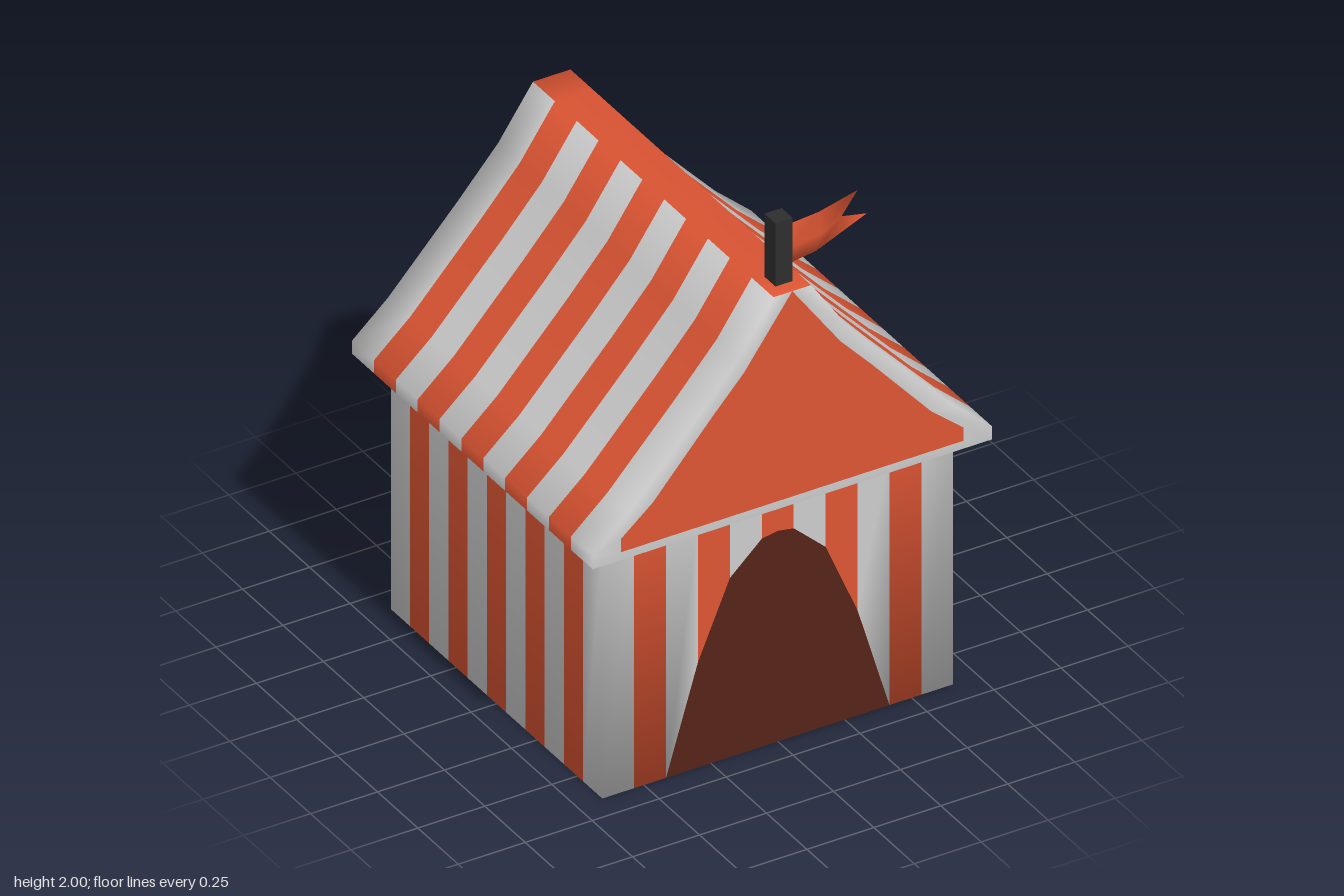
import * as THREE from 'three';

const RED = 0xdd5533, GREY = 0xcccccc, DARK = 0x2d2d2d, DOOR = 0x552419;
const BANDS = 11;

// One mesh per colour from convex faces {c, p, flat}; normals blend across all
// faces that are not flat, so colours share one soft surface.
function softShell(name, faces) {
  const key = p => p.map(v => Math.round(v * 1000) | 0).join();
  const sums = new Map(), byColor = new Map();
  for (const f of faces) {
    const [a, b, c] = f.p.slice(0, 3).map(p => new THREE.Vector3(...p));
    f.n = b.sub(a).cross(c.sub(a)).normalize();
    if (!f.flat) for (const p of f.p) {
      const k = key(p);
      sums.set(k, (sums.get(k) || new THREE.Vector3()).add(f.n));
    }
  }
  for (const f of faces) {
    if (!byColor.has(f.c)) byColor.set(f.c, { pos: [], nor: [] });
    const out = byColor.get(f.c);
    for (let i = 1; i < f.p.length - 1; i++) {
      for (const p of [f.p[0], f.p[i], f.p[i + 1]]) {
        const n = f.flat ? f.n : sums.get(key(p)).clone().normalize();
        out.pos.push(...p);
        out.nor.push(n.x, n.y, n.z);
      }
    }
  }
  const group = new THREE.Group();
  group.name = name;
  const labels = { [RED]: 'Red', [GREY]: 'Grey', [DOOR]: 'Doorway' };
  for (const [color, { pos, nor }] of byColor) {
    const g = new THREE.BufferGeometry();
    g.setAttribute('position', new THREE.Float32BufferAttribute(pos, 3));
    g.setAttribute('normal', new THREE.Float32BufferAttribute(nor, 3));
    const mesh = new THREE.Mesh(g, new THREE.MeshStandardMaterial({ color }));
    mesh.name = name + labels[color];
    group.add(mesh);
  }
  return group;
}

const bandColor = i => (i % 2 ? RED : GREY);
const orient = (points, keep) => (keep ? points : points.reverse());

// Striped square walls with an arched doorway in the front
function createWalls() {
  const R = 0.655, H = 0.95, faces = [];
  const w = 2 * R / BANDS;
  const arch = [0.8, 0.79, 0.68, 0.4, 0]; // heights at the centre and at each stripe edge
  const edges = [];
  for (let i = 0; i <= BANDS; i++) {
    edges.push(-R + i * w);
    if (i === 5) edges.push(0);
  }
  const doorHeight = i => arch[i <= 6 ? 6 - i : i - 6] ?? 0;
  for (let side = 0; side < 4; side++) {
    const cos = Math.round(Math.cos(side * Math.PI / 2));
    const sin = Math.round(Math.sin(side * Math.PI / 2));
    const at = (u, y, d = R) => [u * cos + d * sin, y, -u * sin + d * cos];
    for (let i = 0; i < edges.length - 1; i++) {
      const a = edges[i], b = edges[i + 1], k = 0.95;
      const lo = side === 0 ? [doorHeight(i), doorHeight(i + 1)] : [0, 0];
      const c = bandColor(i <= 5 ? i : i - 1);
      faces.push({ c, p: [at(a, lo[0]), at(b, lo[1]), at(b, H), at(a, H)] });
      // soft lower rim
      faces.push({ c: GREY, p: [at(b, 0), at(a, 0), at(a * k, 0, R * k), at(b * k, 0, R * k)] });
    }
  }
  // doorway
  const door = [];
  for (let i = 10; i >= 2; i--) door.push([edges[i], doorHeight(i), R]);
  faces.push({ c: DOOR, flat: true, p: door });
  // floor
  const f = R * 0.95;
  faces.push({ c: GREY, flat: true, p: [[-f, 0, -f], [f, 0, -f], [f, 0, f], [-f, 0, f]] });
  return softShell('walls', faces);
}

// Swept gable roof with stripes, red ridge and red gable panels
function createRoof() {
  const Z = 0.745, w = 2 * Z / BANDS, faces = [];
  const outer = [[0.745, 0.95], [0.745, 1.0], [0.61, 1.12], [0.35, 1.4], [0.2, 1.57], [0.07, 1.76]];
  const inner = [[0.64, 0.98], [0.64, 1.03], [0.52, 1.13], [0.3, 1.38], [0.18, 1.51], [0, 1.76]];
  const [rx, ry] = outer[5];
  for (let b = 0; b < BANDS; b++) {
    const z0 = -Z + b * w, z1 = z0 + w;
    for (const s of [1, -1]) {
      for (let i = 0; i < 5; i++) {
        const [x0, y0] = outer[i], [x1, y1] = outer[i + 1];
        faces.push({ c: bandColor(b), p: orient(
          [[s * x0, y0, z1], [s * x0, y0, z0], [s * x1, y1, z0], [s * x1, y1, z1]], s > 0) });
      }
    }
    faces.push({ c: RED, p: [[-rx, ry, z1], [rx, ry, z1], [rx, ry, z0], [-rx, ry, z0]] });
  }
  for (const e of [1, -1]) {
    const z = e * Z;
    for (let i = 0; i < 5; i++) {
      // grey rim
      for (const s of [1, -1]) {
        const p = [outer[i], outer[i + 1], inner[i + 1], inner[i]].map(([x, y]) => [s * x, y, z]);
        faces.push({ c: GREY, p: orient(p, s * e > 0) });
      }
      // red panel
      const [x0, y0] = inner[i], [x1, y1] = inner[i + 1];
      const row = x1 ? [[-x0, y0, z], [x0, y0, z], [x1, y1, z], [-x1, y1, z]]
        : [[-x0, y0, z], [x0, y0, z], [0, y1, z]];
      faces.push({ c: RED, flat: true, p: orient(row, e > 0) });
    }
    faces.push({ c: GREY, p: orient(
      [[-Z, 0.95, z], [Z, 0.95, z], [0.64, 0.98, z], [-0.64, 0.98, z]], e > 0) });
  }
  // underside
  faces.push({ c: RED, flat: true, p: [[-Z, 0.95, -Z], [Z, 0.95, -Z], [Z, 0.95, Z], [-Z, 0.95, Z]] });
  return softShell('roof', faces);
}

// Swallow-tailed pennant, thick at the pole and thin at the tips
function createFlag() {
  const top = [[0.03, 1.955, 0], [0.15, 1.965, 0], [0.295, 2.0, 0]];
  const bottom = [[0.03, 1.805, 0], [0.14, 1.82, 0], [0.33, 1.9, 0]];
  const middle = [[0.03, 1.88, 0.02], [0.15, 1.89, 0.016], [0.235, 1.92, 0]];
  const faces = [];
  for (const e of [1, -1]) {
    for (let i = 0; i < 2; i++) {
      for (const [lo, hi] of [[bottom, middle], [middle, top]]) {
        const q = [lo[i], lo[i + 1], hi[i + 1], hi[i]].map(([x, y, z]) => [x, y, e * z]);
        faces.push({ c: RED, p: orient(q, e > 0) });
      }
    }
  }
  const flag = softShell('flag', faces);
  flag.position.z = 0.66;
  return flag;
}

export function createModel() {
  const model = new THREE.Group();
  model.name = 'stripedTent';

  const pole = new THREE.Mesh(
    new THREE.BoxGeometry(0.064, 0.26, 0.068),
    new THREE.MeshStandardMaterial({ color: DARK }));
  pole.name = 'flagPole';
  pole.position.set(0, 1.87, 0.66);

  model.add(createWalls(), createRoof(), pole, createFlag());
  return model;
}
